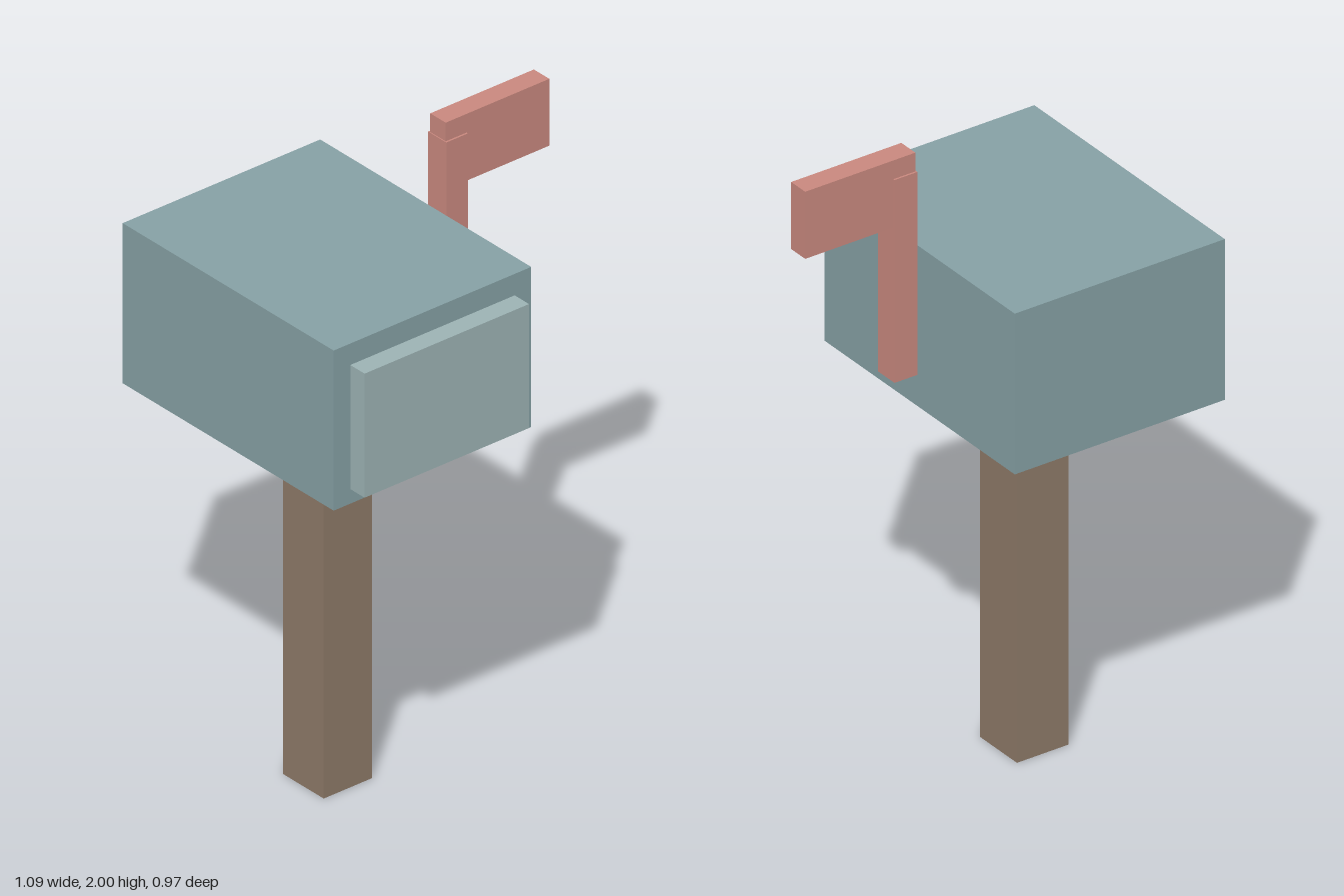
import * as THREE from 'three';

// Box given by its minimum and maximum corners
function block(name, color, min, max) {
  const size = max.map((v, i) => v - min[i]);
  const mesh = new THREE.Mesh(
    new THREE.BoxGeometry(...size),
    new THREE.MeshStandardMaterial({ color, flatShading: true })
  );
  mesh.name = name;
  mesh.position.set(...max.map((v, i) => (v + min[i]) / 2));
  return mesh;
}

export function createModel() {
  const model = new THREE.Group();
  model.name = 'mailbox';

  // Square wooden post carrying the box
  model.add(block('post', 0x8f7b69, [-0.28, 0, -0.115], [-0.105, 1.19, 0.062]));

  // Box body and the raised door on its front
  model.add(block('boxBody', 0x87a2a6, [-0.548, 1.19, -0.487], [0.167, 1.705, 0.425]));
  model.add(block('door', 0x9eb5b6, [-0.488, 1.237, 0.425], [0.107, 1.636, 0.487]));

  // Raised flag on the left side: upright arm and slightly thinner panel
  const flag = new THREE.Group();
  flag.name = 'flag';
  flag.add(block('flagArm', 0xcb8a80, [0.167, 1.29, -0.021], [0.245, 1.94, 0.058]));
  flag.add(block('flagPanel', 0xcb8a80, [0.17, 1.785, -0.015], [0.545, 2, 0.052]));
  model.add(flag);

  return model;
}
